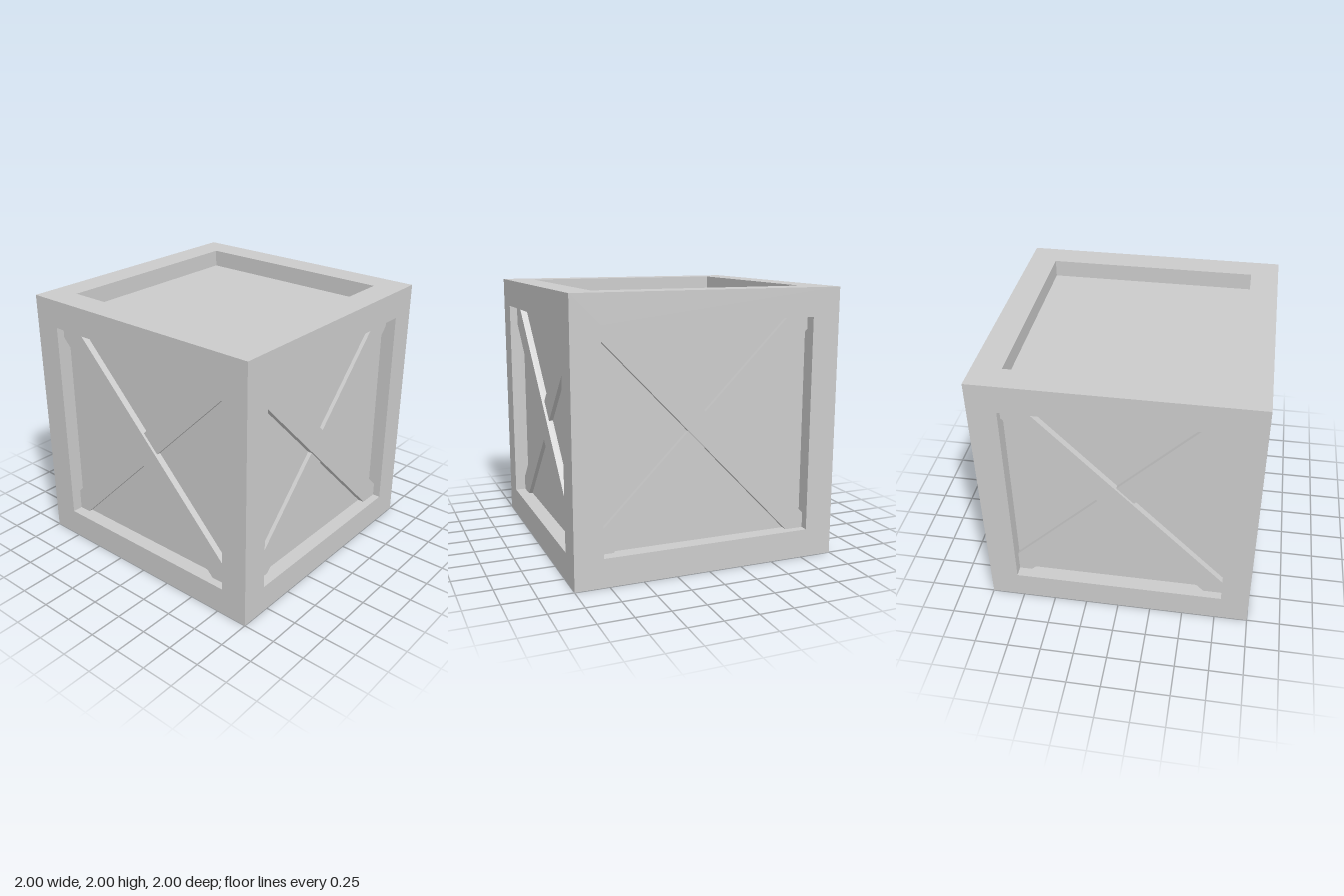
import * as THREE from 'three';

const OPEN = 0.79;  // half width of each recessed opening
const SIDE = 0.11, TOP = 0.13, BOTTOM = 0.1;  // recess depths

const material = new THREE.MeshStandardMaterial({ color: 0xcccccc, flatShading: true });

function addMesh(parent, name, geometry) {
  const mesh = new THREE.Mesh(geometry, material);
  mesh.name = name;
  parent.add(mesh);
  return mesh;
}

// Square border with a square opening; its outer rim is mitred inwards at 45 degrees
function borderGeometry(depth) {
  const square = (h) => [[-h, -h], [h, -h], [h, h], [-h, h]].map(([x, y]) => new THREE.Vector2(x, y));
  const shape = new THREE.Shape(square(1));
  shape.holes.push(new THREE.Path(square(OPEN).reverse()));
  const geometry = new THREE.ExtrudeGeometry(shape, { depth, bevelEnabled: false });
  geometry.translate(0, 0, 1 - depth);
  const p = geometry.attributes.position;
  for (let i = 0; i < p.count; i++) {
    const back = p.getZ(i) < 1 - depth / 2;
    if (back && Math.abs(p.getX(i)) > 0.95) {
      p.setXY(i, p.getX(i) * (1 - depth), p.getY(i) * (1 - depth));
    }
  }
  geometry.computeVertexNormals();
  return geometry;
}

// Diagonal plank whose ends are buried in the border
function addBrace(parent, name, slope, height, front) {
  const back = 1 - SIDE - 0.01;
  const brace = addMesh(parent, name, new THREE.BoxGeometry(2.46, 0.18, front - back));
  brace.position.set(0, height, (front + back) / 2);
  brace.rotation.z = Math.atan(slope);
}

export function createModel() {
  const model = new THREE.Group();
  model.name = 'crate';
  const body = new THREE.Group();
  body.name = 'crateBody';
  body.position.y = 1;
  model.add(body);

  // Inner box whose faces form the recessed panels
  const panels = addMesh(body, 'recessedPanels',
    new THREE.BoxGeometry(2 - 2 * SIDE, 2 - TOP - BOTTOM, 2 - 2 * SIDE));
  panels.position.y = (BOTTOM - TOP) / 2;

  // Four sides, each with a border and two crossed braces: [slope, height]
  ['front', 'right', 'back', 'left'].forEach((name, i) => {
    const side = new THREE.Group();
    side.name = name + 'Side';
    side.rotation.y = i * Math.PI / 2;
    body.add(side);
    addMesh(side, 'border', borderGeometry(SIDE));
    const [over, under] = i === 0
      ? [[-1, -0.025], [1.04, 0.013]]
      : [[-1.034, 0.012], [1.003, 0.033]];
    addBrace(side, 'lowerBrace', ...under, 0.92);
    addBrace(side, 'upperBrace', ...over, 0.94);
  });

  // Lid and base borders
  addMesh(body, 'topBorder', borderGeometry(TOP)).rotation.x = -Math.PI / 2;
  addMesh(body, 'bottomBorder', borderGeometry(BOTTOM)).rotation.x = Math.PI / 2;

  return model;
}
